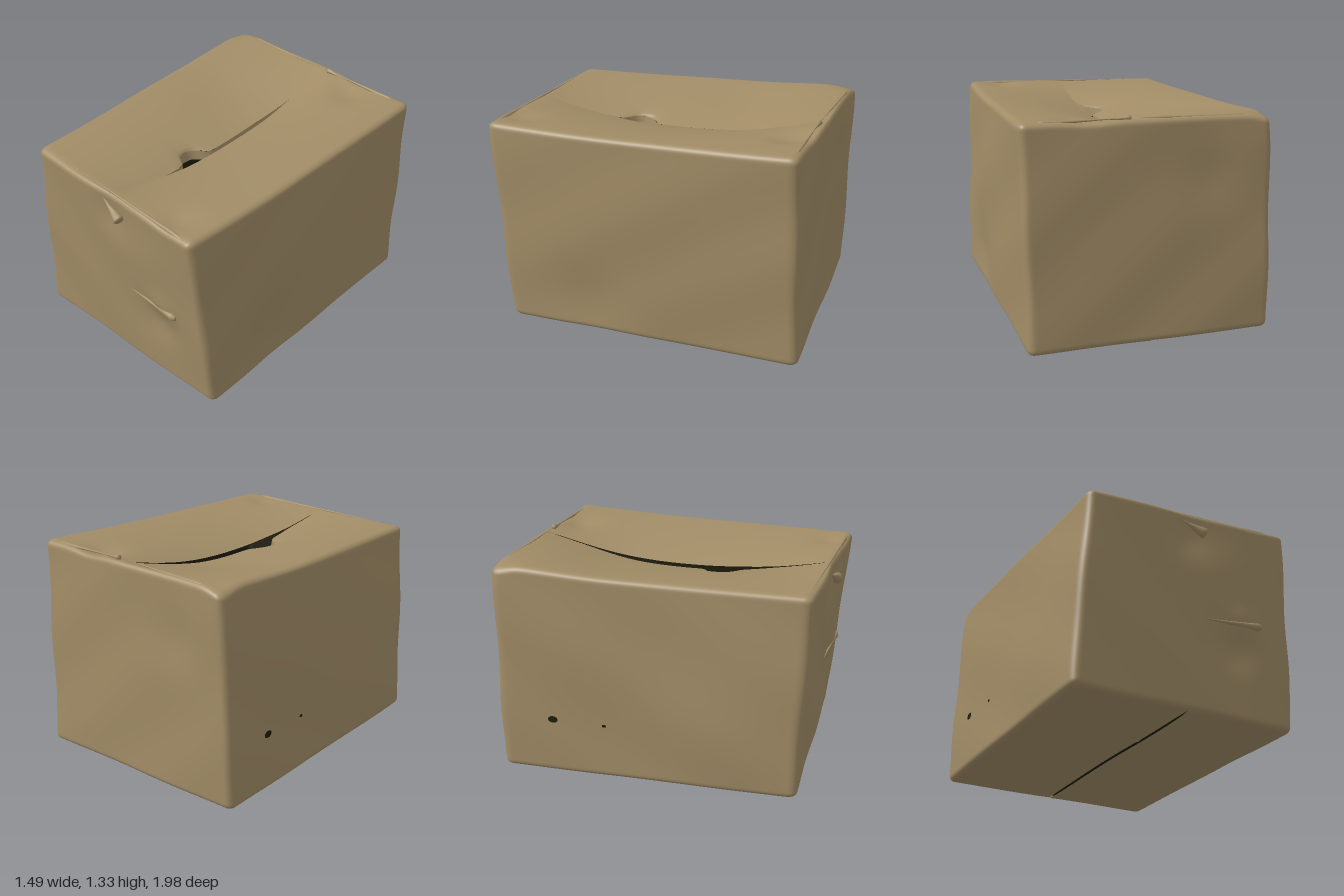
import * as THREE from 'three';
import { mergeGeometries, mergeVertices } from 'three/addons/utils/BufferGeometryUtils.js';

const N = 64;          // grid cells across a full face
const ROUND = 0.06;    // edge rounding in unit-cube space

// Box corners: x, y, z, indexed by (x>0) + 2*(y>0) + 4*(z>0)
const CORNERS = [
  [-0.74, 0.015, -0.98], [0.72, 0.01, -0.975], [-0.69, 1.32, -1.0], [0.745, 1.32, -0.93],
  [-0.72, 0.03, 0.85], [0.71, 0.02, 0.86], [-0.66, 1.26, 0.89], [0.65, 1.28, 0.975],
];

// Soft dents and bulges: centre, radius, push along one axis
const dent = (x, y, z, radius, axis, push) => ({ centre: new THREE.Vector3(x, y, z), radius, axis, push });
const DENTS = [
  // front
  dent(0.3, 0.46, 0.9, 0.15, 'z', -0.025),
  dent(0.35, 0.62, 0.92, 0.1, 'z', 0.02),
  dent(0.35, 0.98, 0.93, 0.22, 'z', 0.012),
  dent(-0.02, 1.1, 0.93, 0.14, 'z', -0.02),
  // sides
  dent(0.7, 0.85, 0.15, 0.55, 'x', 0.025),
  dent(0.72, 0.18, 0.3, 0.22, 'x', -0.02),
  dent(-0.72, 0.45, 0.4, 0.5, 'x', -0.032),
  dent(-0.7, 0.8, -0.5, 0.5, 'x', -0.02),
  // back
  dent(-0.35, 0.95, -0.99, 0.18, 'z', 0.02),
  dent(-0.69, 1.3, -0.97, 0.09, 'y', -0.03),
  // top
  dent(-0.3, 1.3, -0.4, 0.3, 'y', -0.025),
  dent(0.35, 1.3, -0.82, 0.12, 'y', -0.032),
  dent(0.45, 1.28, 0.84, 0.1, 'y', -0.02),
  // bottom
  dent(-0.35, 0.02, -0.2, 0.25, 'y', 0.02),
  dent(0.3, 0.02, 0.1, 0.3, 'y', 0.02),
];

// Maps a point on the unit cube to the crumpled box; side is the flap half (-1, 0, 1)
function warp(p, side = 0) {
  const inner = p.map((c) => THREE.MathUtils.clamp(c, ROUND - 1, 1 - ROUND));
  const off = new THREE.Vector3(...p.map((c, i) => c - inner[i])).setLength(ROUND);
  const q = [inner[0] + off.x, inner[1] + off.y, inner[2] + off.z];
  const v = new THREE.Vector3();
  CORNERS.forEach((corner, i) => {
    let weight = 1;
    for (let a = 0; a < 3; a++) weight *= (1 + ((i >> a) & 1 ? 1 : -1) * q[a]) / 2;
    v.addScaledVector(new THREE.Vector3(...corner), weight);
  });
  const base = v.clone();
  for (const { centre, radius, axis, push } of DENTS) {
    v[axis] += push * Math.exp(-((base.distanceTo(centre) / radius) ** 2));
  }
  // Slight waviness of the board, and upper edges that sink midway
  v.x += 0.004 * Math.sin(base.y * 9 + base.z * 5);
  v.z += 0.004 * Math.sin(base.y * 8 + base.x * 7);
  v.y -= 0.012 * (1 - p[2] ** 2) * Math.max(p[1], 0) ** 4;

  if (side) {
    const near = 1 - Math.abs(p[0]);
    const ends = 1 - p[2] ** 2;
    const inset = 1 - p[2] ** 8;
    const z = base.z;
    if (p[1] > 0) {
      // Top flaps sag towards a ragged open slit with a torn notch
      const open = THREE.MathUtils.smoothstep(z, -0.7, -0.25) * (1 - THREE.MathUtils.smoothstep(z, 0.3, 0.62));
      v.x += ((0.03 - 0.012 * z) * inset + (side < 0 ? -0.024 : 0.014) * open) * near ** 2;
      if (side < 0) v.x -= 0.095 * Math.exp(-(((z - 0.24) / 0.09) ** 4)) * near ** 8;
      v.y -= (side < 0 ? 0.13 : 0.12) * ends * near ** 1.6;
    } else {
      // Bottom flaps meet with a small step
      v.y += (side < 0 ? 0.006 : -0.01) * inset * near ** 5;
    }
  }
  return v;
}

// Grid over one cube face, or over one half of it along x
function face(axis, sign, side = 0) {
  const b = (axis + 1) % 3, c = (axis + 2) % 3;
  const from = side > 0 ? N / 2 : 0, to = side < 0 ? N / 2 : N;
  const spread = (i) => Math.sin((Math.PI / 2) * ((2 * i) / N - 1));
  const pos = [], index = [], row = N + 1;
  for (let j = from; j <= to; j++) {
    for (let i = 0; i <= N; i++) {
      const p = [0, 0, 0];
      p[axis] = sign;
      p[b] = spread(i);
      p[c] = spread(j);
      pos.push(...warp(p, side).toArray());
      if (i < N && j < to) {
        const k = (j - from) * row + i;
        if (sign > 0) index.push(k, k + 1, k + row + 1, k, k + row + 1, k + row);
        else index.push(k, k + row + 1, k + 1, k, k + row, k + row + 1);
      }
    }
  }
  const g = new THREE.BufferGeometry();
  g.setAttribute('position', new THREE.Float32BufferAttribute(pos, 3));
  g.setIndex(index);
  return g;
}

function join(faces) {
  const g = mergeVertices(mergeGeometries(faces), 1e-4);
  g.computeVertexNormals();
  return g;
}

export function createModel() {
  const cardboard = new THREE.MeshStandardMaterial({ color: 0xa18c66, side: THREE.DoubleSide });
  const inside = new THREE.MeshStandardMaterial({ color: 0x1e1c0c, side: THREE.DoubleSide });
  const group = new THREE.Group();
  cardboard.name = 'cardboard';
  inside.name = 'darkInside';
  group.name = 'cardboardBox';

  const add = (name, geometry, material) => {
    const mesh = new THREE.Mesh(geometry, material);
    mesh.name = name;
    group.add(mesh);
    return mesh;
  };

  // Walls with top and bottom flaps
  const walls = [face(0, 1), face(0, -1), face(2, 1), face(2, -1)];
  const bottom = [face(1, -1, -1), face(1, -1, 1)];
  add('boxShell', join([...walls, ...bottom, face(1, 1, -1), face(1, 1, 1)]), cardboard);

  // Dark lining seen through the slit
  const lining = join([...walls, ...bottom]);
  lining.translate(0, -0.65, 0).scale(0.97, 0.95, 0.97).translate(0, 0.63, 0);
  add('lining', lining, inside);

  // Torn edge of the -x flap, folded down into the slit
  const lip = new THREE.PlaneGeometry(1, 1, 40, 1);
  const lipPos = lip.attributes.position;
  for (let i = 0; i < lipPos.count; i++) {
    const t = lipPos.getX(i) * 2;
    const low = lipPos.getY(i) < 0 ? 1 - t ** 4 : 0;
    const v = warp([0, 1, t * 0.72 - 0.02], -1);
    lipPos.setXYZ(i, v.x + 0.012 * low, v.y - 0.06 * low, v.z);
  }
  lip.computeVertexNormals();
  add('slitLip', lip, cardboard);

  // Pinched creases: teardrop ridges half sunk in the surface, thin end to thick end
  const crease = (name, from, to, radius, lift) => {
    const a = warp(from), b = warp(to).add(new THREE.Vector3(...lift));
    const dir = b.clone().sub(a), len = dir.length();
    const profile = [[0, 0], [0.35, 0.4], [0.8, 0.8], [1, 0.93], [0.7, 0.99], [0, 1]];
    const points = profile.map(([r, y]) => new THREE.Vector2(r * radius, y * len));
    const mesh = add(name, new THREE.LatheGeometry(points, 14), cardboard);
    mesh.position.copy(a);
    mesh.quaternion.setFromUnitVectors(new THREE.Vector3(0, 1, 0), dir.normalize());
  };
  crease('frontCrease', [0.1, -0.08, 1], [0.7, -0.05, 1], 0.024, [0, 0, 0.004]);
  crease('frontTear', [-0.1, 0.9, 1], [0.14, 0.78, 1], 0.035, [0, 0, 0.025]);
  crease('backRimLeft', [0.15, 1, -0.95], [-0.8, 1, -0.97], 0.014, [0, -0.01, 0]);
  crease('backRimRight', [0.1, 1, -0.95], [0.85, 1, -0.96], 0.014, [0, -0.01, 0]);
  crease('frontRim', [-0.8, 1, 0.96], [0.88, 1, 0.97], 0.014, [0, -0.01, 0]);
  crease('rimPeak', [0.3, 1, -0.95], [0.12, 1, -0.95], 0.018, [0, 0, 0]);

  // Small punctures in the -x wall
  for (const [y, z, r] of [[-0.45, -0.62, 0.032], [-0.46, -0.27, 0.014]]) {
    const hole = add('puncture', new THREE.CircleGeometry(r, 10), inside);
    hole.position.copy(warp([-1, y, z]));
    hole.position.x -= 0.004;
    hole.rotation.y = -Math.PI / 2;
    hole.scale.y = 0.7;
  }
  return group;
}
